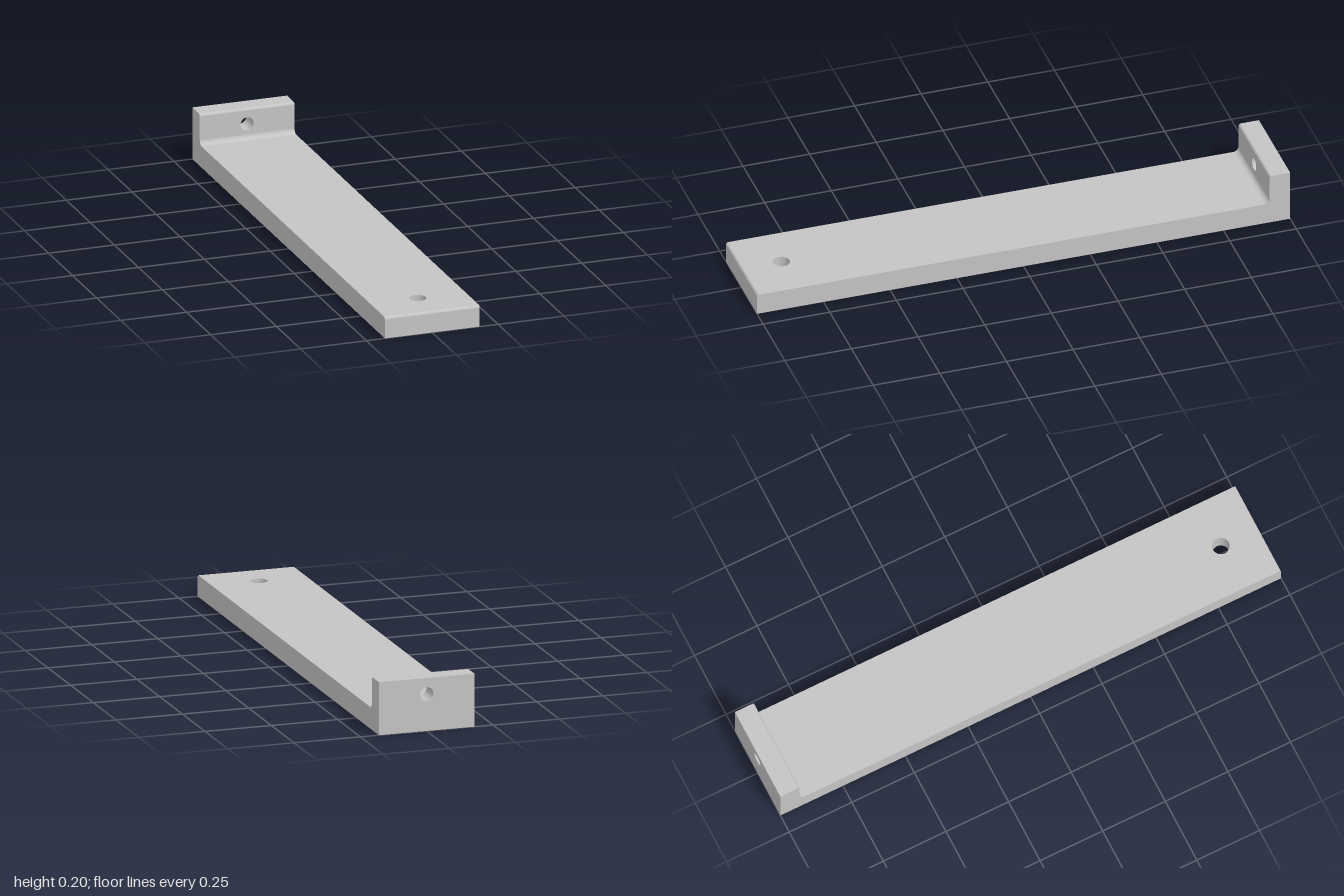
import * as THREE from 'three';
import { mergeGeometries } from 'three/addons/utils/BufferGeometryUtils.js';

const W = 0.18;               // half width
const T = 0.08, H = 0.196;    // plate thickness, wall height
const BACK = -1, WALL = -0.923, FRONT = 1;
const R = 0.01, F = 0.02;     // edge rounding, inner fillet
const plateHole = { at: 0.85, r: 0.031 };
const wallHole = { at: 0.137, r: 0.025 };
const Q = Math.PI / 2, ARC = 10;

// Turns a surface inside out
function invert(geo) {
  const idx = geo.index.array, n = geo.attributes.normal.array;
  for (let i = 0; i < idx.length; i += 3) [idx[i], idx[i + 1]] = [idx[i + 1], idx[i]];
  for (let i = 0; i < n.length; i++) n[i] = -n[i];
  return geo;
}

// Full-width flat panel from v0 to v1, with an optional round hole
function panel(v0, v1, hole, sign = 1) {
  const s = new THREE.Shape();
  s.moveTo(-W, v0).lineTo(W, v0).lineTo(W, v1).lineTo(-W, v1).closePath();
  if (hole) s.holes.push(new THREE.Path().absarc(0, sign * hole.at, hole.r, 0, Math.PI * 2, true));
  return new THREE.ShapeGeometry(s, 24);
}

// Quarter-round strip running across the width
function round(y, z, r, start) {
  return new THREE.CylinderGeometry(r, r, 2 * W, ARC, 1, true, start, Q).rotateZ(Q).translate(0, y, z);
}

// Inside surface of a drilled hole
function bore(r, depth) {
  return invert(new THREE.CylinderGeometry(r, r, depth, 48, 1, true));
}

// L-shaped side face
function side() {
  const s = new THREE.Shape();
  s.moveTo(BACK, 0).lineTo(FRONT, 0).lineTo(FRONT, T - R);
  s.absarc(FRONT - R, T - R, R, 0, Q, false);
  s.lineTo(WALL + F, T);
  s.absarc(WALL + F, T + F, F, -Q, -Math.PI, true);
  s.lineTo(WALL, H - R);
  s.absarc(WALL - R, H - R, R, 0, Q, false);
  s.lineTo(BACK, H).closePath();
  return new THREE.ShapeGeometry(s, ARC).rotateY(-Q).translate(-W, 0, 0);
}

export function createModel() {
  const steel = new THREE.MeshStandardMaterial({ color: 0xc4c4c4 });
  steel.name = 'plain grey';
  const group = new THREE.Group();
  group.name = 'angleBracket';
  const add = (name, ...geos) => {
    const mesh = new THREE.Mesh(mergeGeometries(geos), steel);
    mesh.name = name;
    group.add(mesh);
  };

  // Long base plate with its rounded front edge
  add('basePlate',
    panel(R - FRONT, -(WALL + F), plateHole, -1).rotateX(-Q).translate(0, T, 0),
    panel(BACK, FRONT, plateHole).rotateX(Q),
    panel(0, T - R).translate(0, 0, FRONT),
    round(T - R, FRONT - R, R, 0));
  add('plateHole', bore(plateHole.r, T).translate(0, T / 2, plateHole.at));

  // Upright end wall with rounded top edge
  add('endWall',
    panel(T + F, H - R, wallHole).translate(0, 0, WALL),
    panel(0, H, wallHole).rotateY(Math.PI).translate(0, 0, BACK),
    panel(R - WALL, -BACK).rotateX(-Q).translate(0, H, 0),
    round(H - R, WALL - R, R, 0));
  add('wallHole', bore(wallHole.r, WALL - BACK).rotateX(Q).translate(0, wallHole.at, (WALL + BACK) / 2));

  // Inner corner fillet and the two side faces
  add('innerFillet', invert(round(T + F, WALL + F, F, Math.PI)));
  add('rightSide', side());
  add('leftSide', invert(side()).translate(2 * W, 0, 0));
  return group;
}
